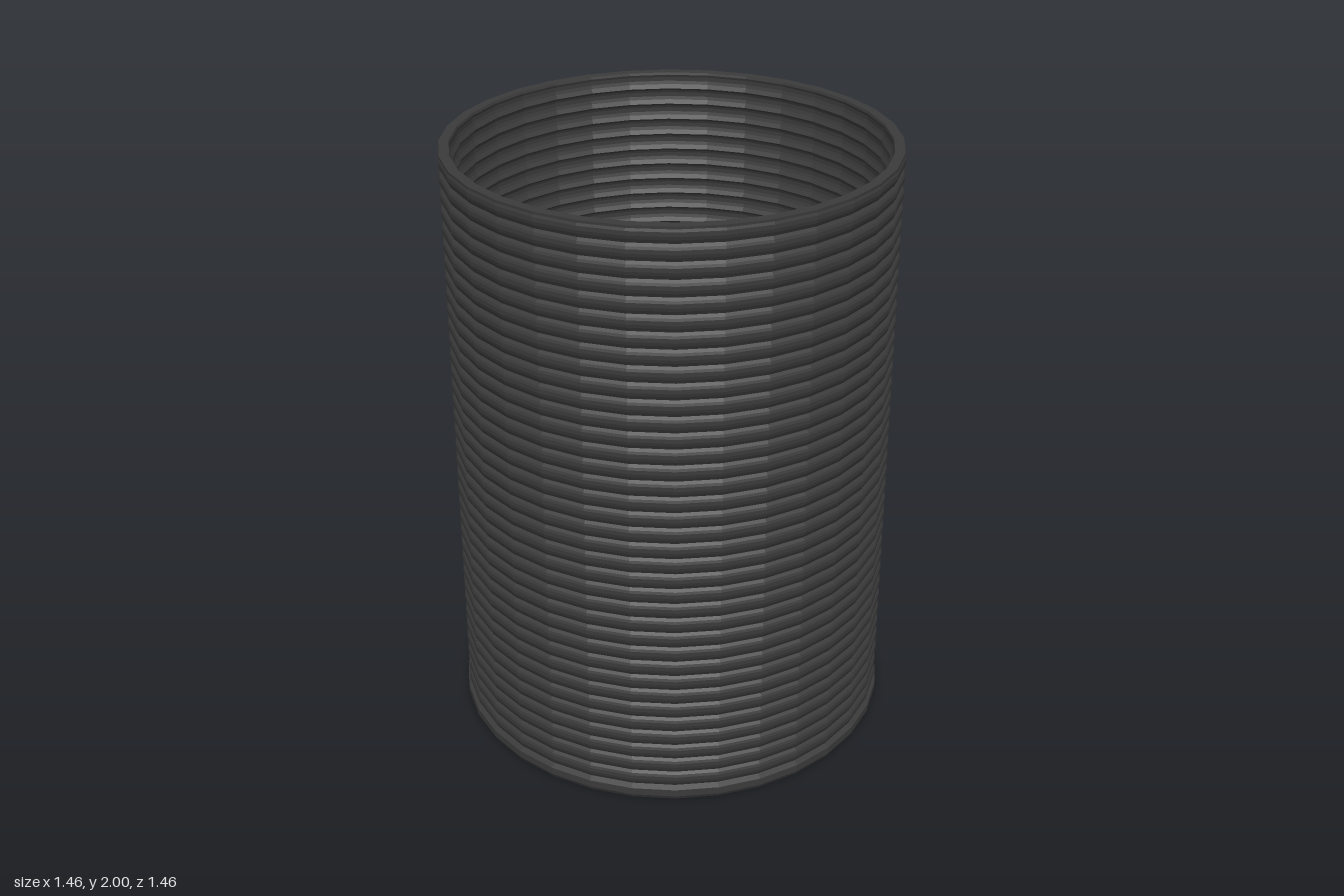
import * as THREE from 'three';

const SIDES = 32, HEIGHT = 2, BASE = 0.05, RIBS = 36;
const PITCH = (HEIGHT - BASE) / RIBS;

// Ribbed wall outline from bottom to top: a narrow groove, then a rounded rib
function ribbedWall(groove, rib) {
  const points = [];
  for (let i = 0; i < RIBS; i++) {
    const y = BASE + i * PITCH;
    points.push(
      new THREE.Vector2(groove, y),
      new THREE.Vector2(groove + (rib - groove) * 0.7, y + PITCH * 0.25),
      new THREE.Vector2(rib, y + PITCH * 0.45),
      new THREE.Vector2(rib, y + PITCH * 0.7),
      new THREE.Vector2(groove + (rib - groove) * 0.7, y + PITCH * 0.85),
    );
  }
  return points;
}

function lathe(name, points, material) {
  const mesh = new THREE.Mesh(new THREE.LatheGeometry(points, SIDES), material);
  mesh.name = name;
  return mesh;
}

export function createModel() {
  const group = new THREE.Group();
  group.name = 'ribbedContainer';
  const material = new THREE.MeshStandardMaterial({ color: 0x3a3a3a, flatShading: true });
  const v = (x, y) => new THREE.Vector2(x, y);

  // Closed bottom with a slightly wider foot ring
  group.add(lathe('base', [v(0, 0), v(0.722, 0), v(0.73, 0.015), v(0.73, 0.04), v(0.714, BASE)], material));

  // Outer ribs, ending at the rim
  group.add(lathe('outerWall', [...ribbedWall(0.714, 0.725), v(0.722, HEIGHT)], material));

  // Flat rim around the opening
  group.add(lathe('rim', [v(0.722, HEIGHT), v(0.69, HEIGHT)], material));

  // Inner ribs run downwards so the faces look inwards
  group.add(lathe('innerWall', [v(0.69, HEIGHT), ...ribbedWall(0.68, 0.691).reverse()], material));

  // Inside floor
  group.add(lathe('floor', [v(0.68, BASE), v(0, BASE)], material));

  return group;
}
